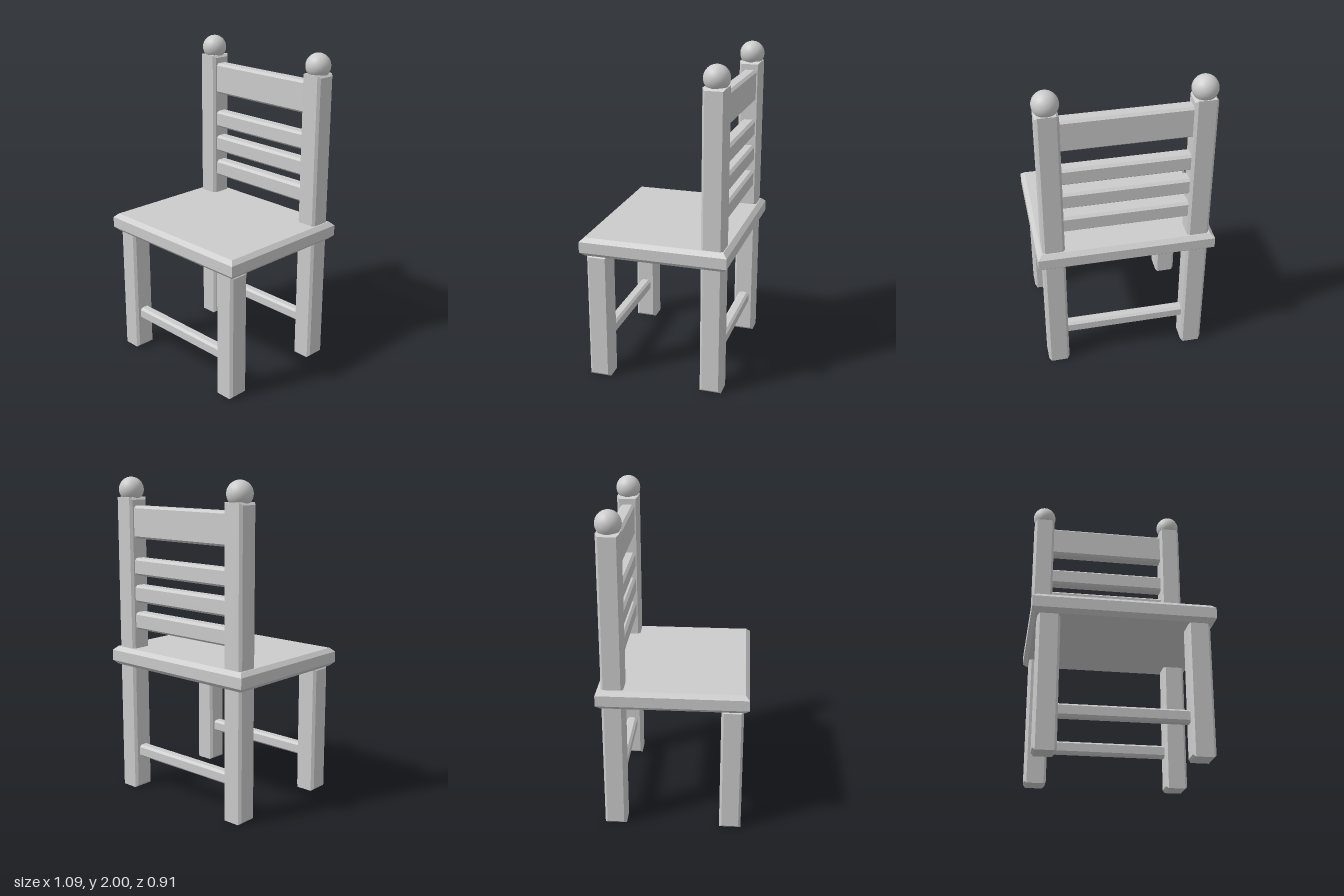
import * as THREE from 'three';

const paint = new THREE.MeshStandardMaterial({ color: 0xcccccc });
paint.name = 'plain grey';

// Box whose two end faces along z are inset by a mitred bevel
function bevelledBox(w, h, d, inset, rise) {
  const x = w / 2 - inset, y = h / 2 - inset;
  const outline = new THREE.Shape([
    new THREE.Vector2(-x, -y), new THREE.Vector2(x, -y),
    new THREE.Vector2(x, y), new THREE.Vector2(-x, y),
  ]);
  const geometry = new THREE.ExtrudeGeometry(outline, {
    depth: d - 2 * rise, bevelEnabled: true, bevelSegments: 1,
    bevelSize: inset, bevelThickness: rise,
  });
  return geometry.translate(0, 0, rise - d / 2);
}

export function createModel() {
  const chair = new THREE.Group();
  chair.name = 'chair';

  function add(name, geometry, x, y, z) {
    const mesh = new THREE.Mesh(geometry, paint);
    mesh.name = name;
    mesh.position.set(x, y, z);
    chair.add(mesh);
  }

  const legX = 0.445, legZ = 0.358, legSize = 0.135;
  const seatBottom = 0.814, postTop = 1.877;

  // Seat slab, bevelled above and below
  add('seat', bevelledBox(1.092, 0.914, 0.117, 0.026, 0.025).rotateX(-Math.PI / 2), 0, 0.8725, 0);

  // Uprights, bevelled on their left and right faces
  const upright = (height) =>
    bevelledBox(legSize, height, legSize, 0.015, 0.015).rotateY(Math.PI / 2);

  for (const [side, s] of [['left', 1], ['right', -1]]) {
    add(side + 'BackPost', upright(postTop), s * legX, postTop / 2, -legZ);
    add(side + 'FrontLeg', upright(seatBottom + 0.002), s * legX, seatBottom / 2 + 0.001, legZ);
    add(side + 'Finial', new THREE.SphereGeometry(0.077, 32, 20), s * legX, 1.923, -legZ);
  }

  // Backrest rails: [centre height, rail height]
  const rails = [[1.726, 0.2], [1.45, 0.109], [1.28, 0.109], [1.108, 0.109]];
  rails.forEach(([y, h], i) => {
    add(i ? 'backSlat' + i : 'topRail', bevelledBox(0.8, h, 0.088, 0.014, 0.016), 0, y, -legZ);
  });

  // Stretchers between the legs
  for (const [name, s] of [['frontStretcher', 1], ['backStretcher', -1]]) {
    add(name, bevelledBox(0.8, 0.077, 0.07, 0.013, 0.015), 0, 0.246, s * legZ);
  }

  return chair;
}
